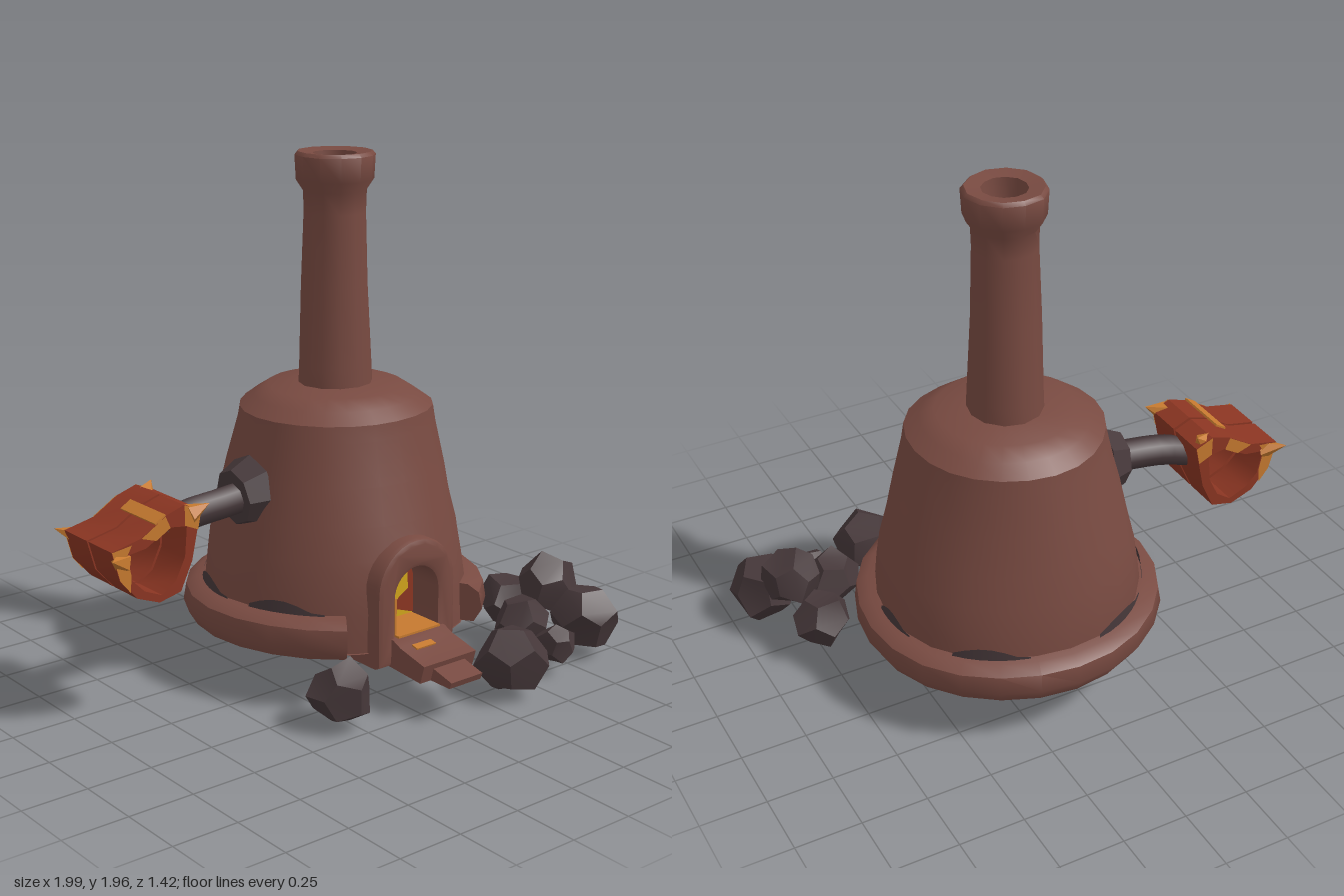
import * as THREE from 'three';
import { toCreasedNormals, mergeGeometries } from 'three/addons/utils/BufferGeometryUtils.js';

const mat = (name, color) => {
  const m = new THREE.MeshStandardMaterial({ color, side: THREE.DoubleSide });
  m.name = name;
  return m;
};
const V2 = (list) => list.map(([x, y]) => new THREE.Vector2(x, y));
const shapeOf = (list) => new THREE.Shape(V2(list));

// Uneven hand-moulded clay: radius varies smoothly with angle and height
function wobble(geo, amount) {
  const p = geo.attributes.position;
  for (let i = 0; i < p.count; i++) {
    const x = p.getX(i), y = p.getY(i), z = p.getZ(i), a = Math.atan2(x, z);
    const s = 1 + amount * (Math.sin(3 * a + 5 * y) + 0.7 * Math.sin(5 * a - 9 * y));
    p.setXYZ(i, x * s, y, z * s);
  }
  return geo;
}

export function createModel() {
  const clay = mat('brown clay', 0x784a41);
  const stone = mat('dark stone', 0x453739);
  const yellow = mat('glowing yellow', 0xd0a51c);
  const orange = mat('molten orange', 0xc5792f);
  const red = mat('hot red', 0x8a3522);

  const model = new THREE.Group();
  model.name = 'kiln';
  const add = (parent, name, geo, material, x = 0, y = 0, z = 0) => {
    const m = new THREE.Mesh(geo, material);
    m.name = name;
    m.position.set(x, y, z);
    parent.add(m);
    return m;
  };

  // Round parts share one vertical axis
  const kiln = new THREE.Group();
  kiln.name = 'oven';
  kiln.position.set(0.115, 0, -0.143);
  model.add(kiln);

  // Dome, with a two-segment gap at the front for the doorway
  const step = Math.PI / 12;
  const lower = new THREE.LatheGeometry(V2([[0.5, 0.18], [0.5, 0.33], [0.49, 0.42], [0.475, 0.52]]), 22, step, Math.PI * 2 - 2 * step);
  const upper = new THREE.LatheGeometry(V2([[0.475, 0.52], [0.445, 0.64], [0.415, 0.78], [0.375, 0.94], [0.365, 1.0],
    [0.31, 1.04], [0.255, 1.075], [0.1, 1.085]]), 24, step, Math.PI * 2);
  add(kiln, 'dome', toCreasedNormals(wobble(mergeGeometries([lower, upper]), 0.009), 0.7), clay);

  // Chimney with flared mouth and hollow top
  const chimney = new THREE.LatheGeometry(V2([[0.142, 1.04], [0.137, 1.15], [0.125, 1.45], [0.116, 1.72], [0.118, 1.8],
    [0.145, 1.84], [0.15, 1.93], [0.138, 1.943], [0.082, 1.935], [0.072, 1.8], [0, 1.8]]), 12);
  add(kiln, 'chimney', toCreasedNormals(wobble(chimney, 0.012), 0.8), clay);

  // Thick foot roll, open at the doorway
  const section = [[0.44, 0.18], [0.55, 0.182], [0.582, 0.235], [0.572, 0.3], [0.53, 0.328], [0.44, 0.332], [0.44, 0.18]];
  const a0 = 0.58, a1 = Math.PI * 2 - 0.6;
  const roll = new THREE.LatheGeometry(V2(section), 20, a0, a1 - a0);
  add(kiln, 'footRoll', toCreasedNormals(wobble(roll, 0.007), 0.8), clay);
  for (const a of [a0, a1]) {
    add(kiln, 'footRollEnd', wobble(new THREE.ShapeGeometry(shapeOf(section)).rotateY(a - Math.PI / 2), 0.007), clay);
  }

  // Soot patches above the foot roll: [centre angle, half width]
  for (const [a, w] of [[1.7, 0.2], [2.55, 0.28], [-2.6, 0.3], [-1.85, 0.28], [-1.05, 0.3]]) {
    const g = new THREE.LatheGeometry(V2([[0.511, 0.32], [0.506, 0.375]]), 6, a - w, 2 * w);
    const p = g.attributes.position;
    for (let i = 1; i < p.count; i += 2) {
      const k = (i - 1) / (p.count - 2);
      p.setY(i, 0.335 + 0.04 * Math.sin(Math.PI * Math.min(1, k * 1.1 + 0.05)));
    }
    add(kiln, 'sootPatch', wobble(g, 0.009), stone);
  }

  // Underside with scorched centre
  add(kiln, 'underside', new THREE.CircleGeometry(0.51, 24).rotateX(Math.PI / 2), clay, 0, 0.182, 0);
  add(kiln, 'scorchedBase', wobble(new THREE.CircleGeometry(0.42, 20).rotateX(Math.PI / 2), 0.06), stone, 0, 0.175, 0);

  // Arched door frame
  const door = new THREE.Group();
  door.name = 'doorway';
  door.position.x = 0.09;
  model.add(door);
  const arch = (path, w, y0, yc) => {
    path.moveTo(-w, y0);
    path.lineTo(w, y0);
    path.lineTo(w, yc);
    path.absarc(0, yc, w, 0, Math.PI, false);
    path.closePath();
    return path;
  };
  const frameShape = arch(new THREE.Shape(), 0.165, 0.15, 0.41);
  frameShape.holes.push(arch(new THREE.Path(), 0.12, 0.22, 0.385));
  const frame = new THREE.ExtrudeGeometry(frameShape, { depth: 0.14, curveSegments: 8, bevelSize: 0.02, bevelThickness: 0.02, bevelSegments: 2 });
  add(door, 'doorFrame', toCreasedNormals(frame, 0.7), clay, 0, 0, 0.21);

  // Fire inside: back wall, floor, side lining and flame marks
  add(door, 'fireBack', new THREE.ShapeGeometry(arch(new THREE.Shape(), 0.125, 0.2, 0.385), 8), yellow, 0, 0, 0.225);
  add(door, 'fireFloor', new THREE.BoxGeometry(0.2, 0.008, 0.17), orange, 0, 0.243, 0.297);
  add(door, 'fireLining', new THREE.BoxGeometry(0.008, 0.14, 0.14), orange, -0.096, 0.315, 0.29);
  add(door, 'flameMark', new THREE.ShapeGeometry(shapeOf([[-0.1, 0.24], [-0.06, 0.27], [-0.07, 0.33], [-0.045, 0.36], [-0.075, 0.43], [-0.1, 0.42]])), orange, 0, 0, 0.23);
  add(door, 'emberMark', new THREE.ShapeGeometry(shapeOf([[0, 0.285], [0.1, 0.25], [0.1, 0.44], [0.07, 0.42], [0.075, 0.35], [0.03, 0.325]])), red, 0, 0, 0.23);

  // Sill and pouring lip: side profiles (z, y) swept across x
  const sweep = (name, profile, width) => {
    const g = new THREE.ExtrudeGeometry(shapeOf(profile), { depth: width, bevelEnabled: false });
    g.translate(0, 0, -width / 2).rotateY(-Math.PI / 2);
    add(door, name, toCreasedNormals(g, 0.5), clay);
  };
  sweep('sill', [[0.22, 0.14], [0.53, 0.12], [0.55, 0.19], [0.42, 0.22], [0.38, 0.238], [0.22, 0.238]], 0.25);
  sweep('pouringLip', [[0.5, 0.12], [0.63, 0.12], [0.64, 0.145], [0.5, 0.18]], 0.15);
  add(door, 'moltenDrop', new THREE.BoxGeometry(0.09, 0.008, 0.03).rotateX(0.22), orange, -0.03, 0.217, 0.44);

  // Arm on the right side
  const arm = new THREE.Group();
  arm.name = 'arm';
  model.add(arm);
  const flange = new THREE.CylinderGeometry(0.105, 0.14, 0.09, 8).rotateZ(Math.PI / 2 + 0.1);
  add(arm, 'armFlange', toCreasedNormals(flange, 0.6), stone, -0.315, 0.72, -0.145);
  const path = new THREE.CatmullRomCurve3([[-0.28, 0.72, -0.14], [-0.42, 0.705, -0.14], [-0.55, 0.69, -0.15], [-0.67, 0.655, -0.16]]
    .map((v) => new THREE.Vector3(...v)));
  add(arm, 'armRod', new THREE.TubeGeometry(path, 8, 0.06, 8), stone);

  // Hollow bucket made of two bands side by side
  const ring = shapeOf([[-0.98, 0.68], [-0.95, 0.57], [-0.88, 0.49], [-0.79, 0.455], [-0.7, 0.475], [-0.65, 0.58], [-0.61, 0.76],
    [-0.68, 0.79], [-0.76, 0.765], [-0.86, 0.705]]);
  ring.holes.push(new THREE.Path(V2([[-0.92, 0.655], [-0.9, 0.56], [-0.85, 0.51], [-0.78, 0.48], [-0.72, 0.52], [-0.68, 0.6],
    [-0.67, 0.71], [-0.74, 0.72], [-0.84, 0.665]])));
  for (const z of [-0.3, -0.14]) {
    const g = new THREE.ExtrudeGeometry(ring, { depth: 0.148, bevelEnabled: false });
    add(arm, 'bucketBand', toCreasedNormals(g, 0.6), red, 0, 0, z);
  }

  // Heated edges: thin faces on both open ends and a strip over the top
  const edges = [
    [[-0.98, 0.68], [-0.95, 0.57], [-0.91, 0.52], [-0.905, 0.58], [-0.92, 0.655], [-0.9, 0.69]],
    [[-0.86, 0.705], [-0.76, 0.765], [-0.74, 0.72], [-0.8, 0.685]],
    [[-0.61, 0.76], [-0.68, 0.79], [-0.68, 0.715], [-0.625, 0.69]],
  ];
  for (const e of edges) for (const z of [-0.304, 0.012]) {
    add(arm, 'heatedEdge', new THREE.ShapeGeometry(shapeOf(e)), orange, 0, 0, z);
  }
  add(arm, 'heatedStrip', new THREE.BoxGeometry(0.05, 0.008, 0.22).rotateZ(0.54), orange, -0.78, 0.757, -0.1);

  // Torn corner spikes: base centre and tip
  const up = new THREE.Vector3(0, 1, 0);
  for (const [b, t] of [
    [[-0.93, 0.65, -0.28], [-1.0, 0.68, -0.34]], [[-0.93, 0.63, -0.01], [-1.0, 0.66, 0.045]],
    [[-0.65, 0.75, 0.0], [-0.58, 0.78, 0.02]], [[-0.66, 0.76, -0.27], [-0.62, 0.8, -0.29]],
  ]) {
    const base = new THREE.Vector3(...b), dir = new THREE.Vector3(...t).sub(base);
    const spike = add(arm, 'spike', toCreasedNormals(new THREE.ConeGeometry(0.04, dir.length(), 5), 0.4), orange);
    spike.position.copy(base).addScaledVector(dir, 0.5);
    spike.quaternion.setFromUnitVectors(up, dir.clone().normalize());
  }

  // Coal lumps: x, y, z, radius
  const lumps = [[-0.295, 0.115, 0.395, 0.122], [0.385, 0.12, 0.565, 0.142], [0.615, 0.15, 0.38, 0.112], [0.65, 0.1, 0.535, 0.08],
    [0.8, 0.255, 0.32, 0.122], [0.865, 0.135, 0.465, 0.138], [0.75, 0.145, 0.165, 0.118]];
  lumps.forEach(([x, y, z, r], i) => {
    const g = new THREE.DodecahedronGeometry(r);
    const p = g.attributes.position, v = new THREE.Vector3();
    for (let k = 0; k < p.count; k++) {
      v.fromBufferAttribute(p, k);
      const n = v.clone().divideScalar(r);
      v.multiplyScalar(0.98 + 0.1 * Math.sin(n.x * 4 + n.y * 7 + n.z * 5 + i * 2.3));
      p.setXYZ(k, v.x, v.y, v.z);
    }
    g.rotateY(i * 1.3).rotateX(i * 0.7);
    add(model, 'coalLump', toCreasedNormals(g, 0.55), stone, x, y, z);
  });

  return model;
}
